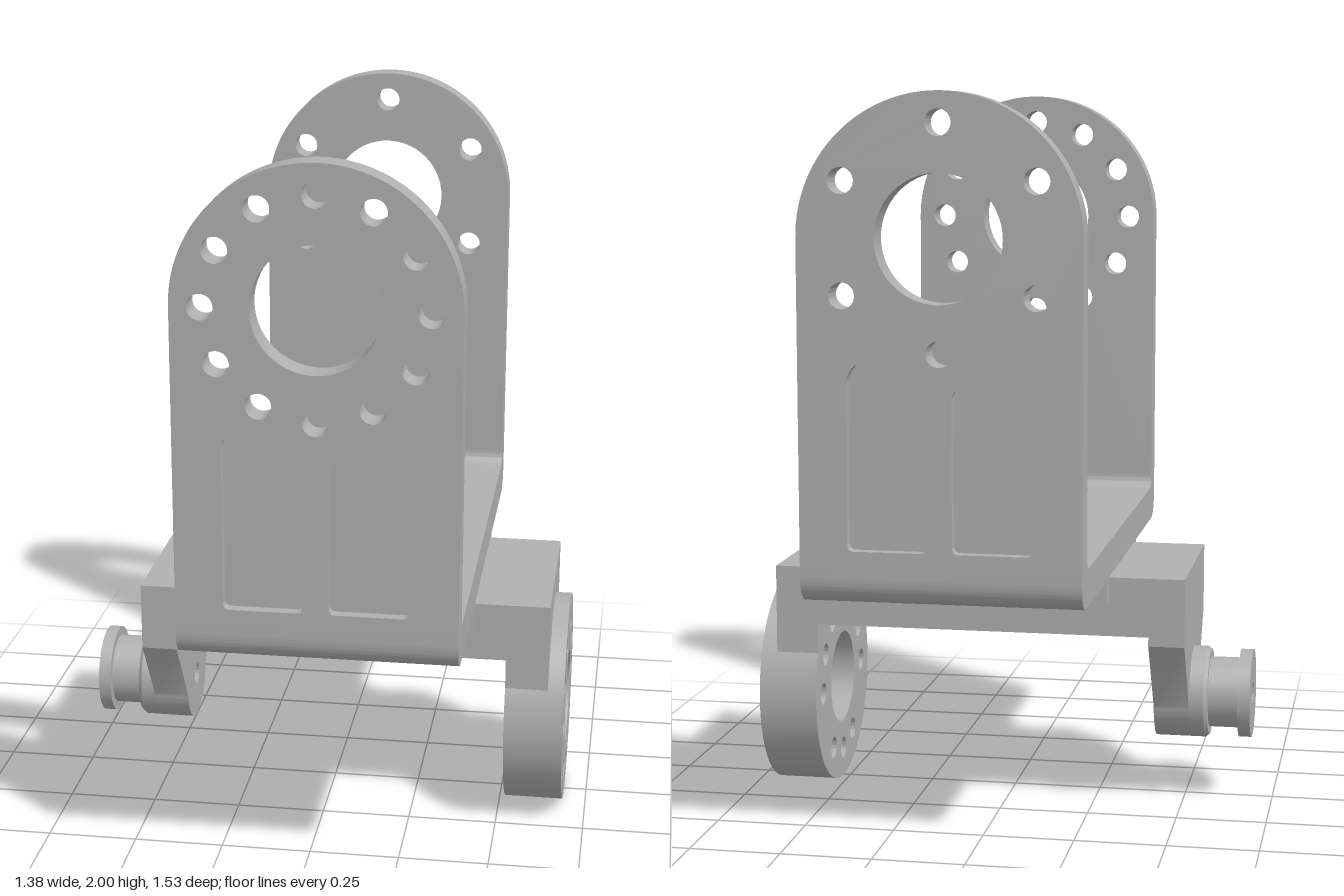
import * as THREE from 'three';
import { toCreasedNormals } from 'three/addons/utils/BufferGeometryUtils.js';

const CX = 0.06;      // bracket centre line
const HALF = 0.37;    // bracket half width
const EYE = 1.63;     // height of the large bracket bores
const AXLE = 0.3;     // height of the lower pivot axis
const metal = new THREE.MeshStandardMaterial({ color: 0xb0b0b0 });
metal.name = 'machined grey';

const rad = (d) => (d * Math.PI) / 180;

function circle(x, y, r) {
  return new THREE.Path().absarc(x, y, r, 0, Math.PI * 2, true);
}

// Closed polygon with every corner rounded
function rounded(points, r, Type = THREE.Path) {
  const p = points.map(([x, y]) => new THREE.Vector2(x, y));
  const path = new Type();
  p.forEach((c, i) => {
    const toward = (q) => c.clone().add(q.clone().sub(c).setLength(r));
    const a = toward(p[(i + p.length - 1) % p.length]);
    const b = toward(p[(i + 1) % p.length]);
    if (i === 0) path.moveTo(a.x, a.y);
    else path.lineTo(a.x, a.y);
    path.quadraticCurveTo(c.x, c.y, b.x, b.y);
  });
  path.closePath();
  return path;
}

function rectangle(x0, x1, y0, y1) {
  return new THREE.Shape([[x0, y0], [x1, y0], [x1, y1], [x0, y1]].map(([x, y]) => new THREE.Vector2(x, y)));
}

// Extrude a shape along an axis, from a to b
function slab(shape, axis, a, b) {
  const g = new THREE.ExtrudeGeometry(shape, { depth: b - a, bevelEnabled: false, curveSegments: 28 });
  g.translate(0, 0, a);
  if (axis === 'x') g.rotateY(Math.PI / 2);
  if (axis === 'y') g.rotateX(-Math.PI / 2);
  return toCreasedNormals(g, 0.6);
}

function add(group, name, geometry) {
  const mesh = new THREE.Mesh(geometry, metal);
  mesh.name = name;
  group.add(mesh);
  return mesh;
}

// Upright plate outline with main bore and a ring of bolt holes
function plateShape(count, pockets) {
  const s = new THREE.Shape();
  s.moveTo(CX - HALF, 0.82);
  s.lineTo(CX + HALF, 0.82);
  s.lineTo(CX + HALF, EYE);
  s.absarc(CX, EYE, HALF, 0, Math.PI, false);
  s.closePath();
  s.holes.push(circle(CX, EYE, 0.166));
  for (let i = 0; i < count; i++) {
    const t = Math.PI / 2 + (i * Math.PI * 2) / count;
    s.holes.push(circle(CX + 0.291 * Math.cos(t), EYE + 0.291 * Math.sin(t), 0.034));
  }
  if (pockets) {
    for (const m of [-1, 1]) {
      const outline = [[0.033, 0.825], [0.243, 0.825], [0.243, 1.275], [0.215, 1.315], [0.14, 1.27], [0.033, 1.245]];
      s.holes.push(rounded(outline.map(([x, y]) => [CX + m * x, y]), 0.018));
    }
  }
  return s;
}

function makeBracket() {
  const g = new THREE.Group();
  g.name = 'uBracket';

  // Front plate has twelve bolt holes, back plate six; pockets on the outsides
  for (const [name, sign, count] of [['front', 1, 12], ['back', -1, 6]]) {
    const layer = (a, b) => (sign > 0 ? [a, b] : [-b, -a]);
    add(g, name + 'PlateInner', slab(plateShape(count, false), 'z', ...layer(0.685, 0.735)));
    add(g, name + 'PlateOuter', slab(plateShape(count, true), 'z', ...layer(0.735, 0.765)));
  }

  // Rounded bends joining floor and plates
  for (const m of [-1, 1]) {
    const s = new THREE.Shape();
    s.moveTo(m * 0.6, 0.68);
    s.lineTo(m * 0.685, 0.68);
    s.quadraticCurveTo(m * 0.765, 0.68, m * 0.765, 0.76);
    s.lineTo(m * 0.765, 0.82);
    s.lineTo(m * 0.685, 0.82);
    s.quadraticCurveTo(m * 0.685, 0.78, m * 0.645, 0.78);
    s.lineTo(m * 0.6, 0.78);
    s.closePath();
    add(g, 'bend', slab(s, 'x', CX - HALF, CX + HALF));
  }

  // Floor with central bore and counterbored bolt holes
  for (const [name, r, y0, y1] of [['floorLower', 0.034, 0.68, 0.735], ['floorUpper', 0.066, 0.735, 0.78]]) {
    const s = rectangle(CX - HALF, CX + HALF, -0.6, 0.6);
    s.holes.push(circle(CX, 0, 0.1));
    for (const mx of [-1, 1]) for (const mz of [-1, 1]) s.holes.push(circle(CX + mx * 0.167, mz * 0.15, r));
    add(g, name, slab(s, 'y', y0, y1));
  }

  // Locating lips either side of the cross body
  for (const m of [-1, 1]) {
    const lip = add(g, 'locatingLip', new THREE.BoxGeometry(HALF * 2, 0.068, 0.042));
    lip.position.set(CX, 0.648, m * 0.291);
  }
  return g;
}

function makeYoke() {
  const g = new THREE.Group();
  g.name = 'pivotYoke';

  // Cross body: top plate with bolt holes and two side rails
  const top = rectangle(-0.42, 0.52, -0.27, 0.27);
  for (const mx of [-1, 1]) for (const mz of [-1, 1]) top.holes.push(circle(CX + mx * 0.167, mz * 0.15, 0.034));
  add(g, 'crossPlate', slab(top, 'y', 0.59, 0.68));
  for (const m of [-1, 1]) {
    const rail = add(g, 'sideRail', new THREE.BoxGeometry(0.94, 0.075, 0.07));
    rail.position.set(0.05, 0.5525, m * 0.235);
  }

  // Tapered arm ending in a round boss
  const arm = new THREE.Shape();
  arm.moveTo(-0.27, 0.68);
  arm.lineTo(-0.27, 0.49);
  arm.absarc(0, AXLE + 0.005, 0.132, rad(188), rad(352), false);
  arm.lineTo(0.27, 0.49);
  arm.lineTo(0.27, 0.68);
  arm.closePath();
  arm.holes.push(circle(0, AXLE, 0.03));
  add(g, 'taperedArm', slab(arm, 'x', -0.52, -0.42));

  // Grooved axle knob with a drilled centre
  const profile = [[0.03, 0], [0.13, 0], [0.13, 0.04], [0.122, 0.05], [0.1, 0.05], [0.1, 0.135],
    [0.125, 0.135], [0.125, 0.17], [0.03, 0.17], [0.03, 0]].map(([r, h]) => new THREE.Vector2(r, h));
  const knob = add(g, 'axleKnob', toCreasedNormals(new THREE.LatheGeometry(profile, 48), 0.6));
  knob.rotation.z = Math.PI / 2;
  knob.position.set(-0.52, AXLE + 0.003, 0);

  // Shoulder that carries the mounting disc
  const end = Math.acos(0.27 / 0.3);
  const shoulder = new THREE.Shape();
  shoulder.moveTo(0.27, 0.68);
  shoulder.lineTo(-0.27, 0.68);
  shoulder.absarc(0, AXLE, 0.3, Math.PI - end, end, true);
  shoulder.closePath();
  add(g, 'discShoulder', slab(shoulder, 'x', 0.52, 0.64));

  // Mounting disc with bore and nine bolt holes
  const disc = new THREE.Shape().absarc(0, AXLE, 0.3, 0, Math.PI * 2, false);
  disc.holes.push(circle(0, AXLE, 0.133));
  for (const d of [0, 30, 60, 120, 150, 180, 240, 270, 300]) {
    disc.holes.push(circle(0.217 * Math.cos(rad(d)), AXLE + 0.217 * Math.sin(rad(d)), 0.031));
  }
  add(g, 'mountingDisc', slab(disc, 'x', 0.52, 0.685));
  return g;
}

export function createModel() {
  const model = new THREE.Group();
  model.name = 'servoBracket';
  model.add(makeBracket(), makeYoke());
  return model;
}
